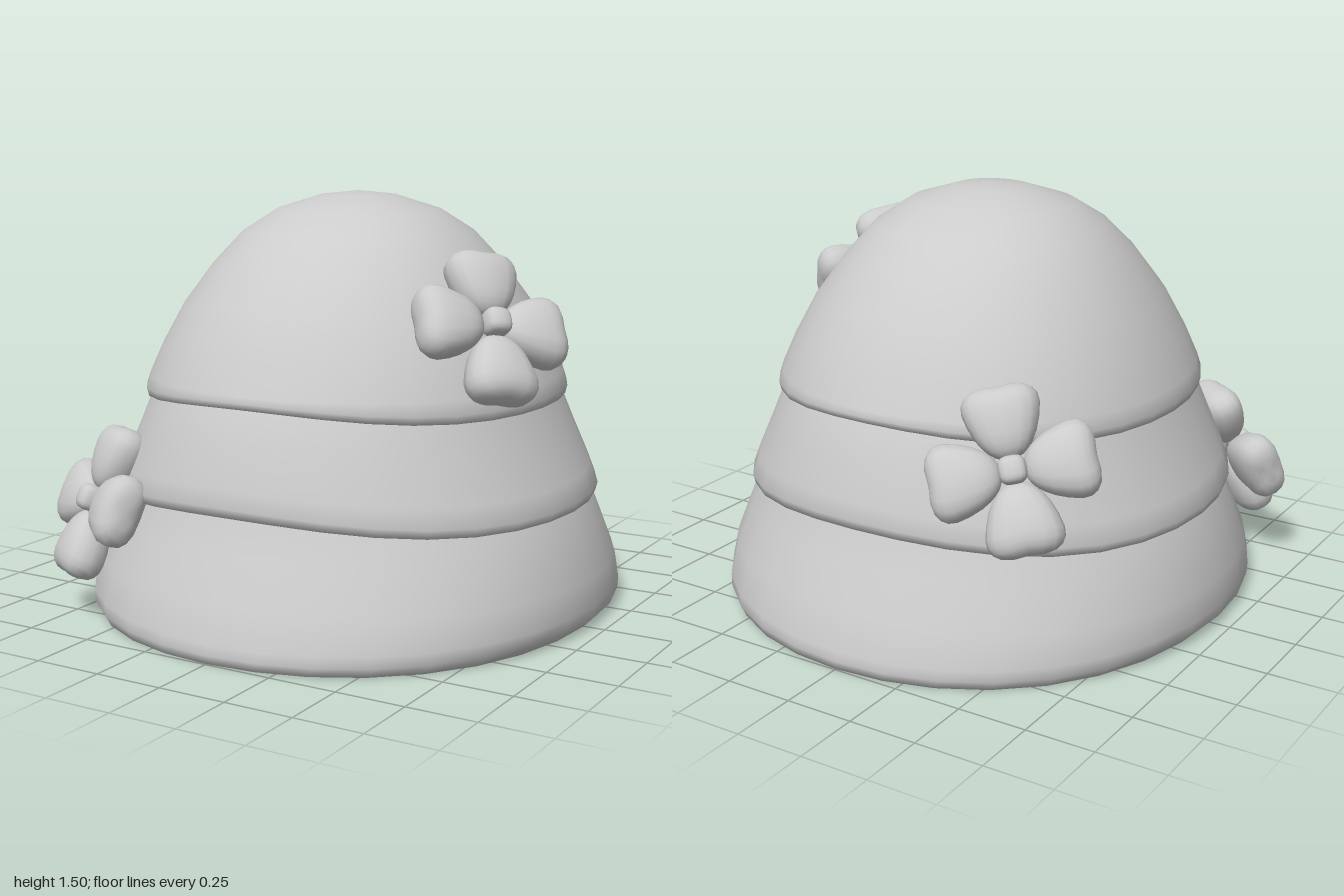
import * as THREE from 'three';
import { toCreasedNormals } from 'three/addons/utils/BufferGeometryUtils.js';

const material = new THREE.MeshStandardMaterial({ color: 0xcccccc });

// Surface through slightly squared oval rings [radiusX, radiusZ, height at the sides, height at front and back]
function loft(rows, segments = 32) {
  const positions = [], index = [];
  rows.forEach(([rx, rz, ySide, yFront], i) => {
    for (let j = 0; j < segments; j++) {
      const a = (j / segments) * Math.PI * 2;
      const bulge = 1 + 0.02 * Math.sin(2 * a) ** 2;
      const y = THREE.MathUtils.lerp(ySide, yFront, Math.sin(a) ** 4);
      positions.push(rx * bulge * Math.cos(a), y, rz * bulge * Math.sin(a));
      if (i === rows.length - 1) continue;
      const p = i * segments + j, q = i * segments + (j + 1) % segments;
      index.push(p, q, q + segments, p, q + segments, p + segments);
    }
  });
  const geometry = new THREE.BufferGeometry();
  geometry.setAttribute('position', new THREE.Float32BufferAttribute(positions, 3));
  geometry.setIndex(index);
  return toCreasedNormals(geometry, 1.5);
}

function addMesh(parent, name, geometry) {
  const mesh = new THREE.Mesh(geometry, material);
  mesh.name = name;
  parent.add(mesh);
  return mesh;
}

// Sphere whose points are pushed towards a box, then placed by a rule
function softShape(power, place) {
  const geometry = new THREE.SphereGeometry(1, 16, 12);
  const pos = geometry.attributes.position;
  const puff = v => Math.sign(v) * Math.abs(v) ** power;
  for (let i = 0; i < pos.count; i++) {
    pos.setXYZ(i, ...place(puff(pos.getX(i)), puff(pos.getY(i)), puff(pos.getZ(i))));
  }
  return toCreasedNormals(geometry, 1.5);
}

export function createModel() {
  const model = new THREE.Group();
  model.name = 'flowerHat';

  // Three overlapping tiers with wavy, tucked-in hems
  addMesh(model, 'crownTier', loft([
    [0, 0, 1.505, 1.505], [0.14, 0.13, 1.49, 1.49], [0.3, 0.28, 1.44, 1.44],
    [0.42, 0.41, 1.36, 1.365], [0.52, 0.53, 1.245, 1.265], [0.62, 0.65, 1.1, 1.12],
    [0.69, 0.74, 0.96, 0.965], [0.74, 0.785, 0.85, 0.86], [0.757, 0.795, 0.8, 0.84],
    [0.75, 0.787, 0.77, 0.818], [0.725, 0.76, 0.773, 0.82], [0.72, 0.755, 0.81, 0.85],
  ]));
  addMesh(model, 'middleTier', loft([
    [0.715, 0.755, 0.82, 0.85], [0.735, 0.78, 0.77, 0.81], [0.785, 0.825, 0.65, 0.69],
    [0.85, 0.868, 0.51, 0.56], [0.88, 0.882, 0.44, 0.5], [0.872, 0.875, 0.41, 0.468],
    [0.84, 0.83, 0.415, 0.47], [0.83, 0.81, 0.45, 0.5],
  ]));
  addMesh(model, 'bottomTier', loft([
    [0.82, 0.805, 0.5, 0.53], [0.87, 0.825, 0.41, 0.46], [0.905, 0.88, 0.31, 0.34],
    [0.95, 0.945, 0.18, 0.19], [0.96, 0.995, 0.08, 0.065], [0.955, 1, 0.035, 0.03],
    [0.92, 0.995, 0, 0], [0.865, 0.92, 0, 0], [0.835, 0.875, 0.018, 0.015],
  ]));

  // Thin-walled hollow inside with a small step where the tiers meet
  addMesh(model, 'lining', loft([
    [0.835, 0.875, 0.018, 0.015], [0.88, 0.91, 0.07, 0.06], [0.9, 0.92, 0.14, 0.14],
    [0.885, 0.88, 0.25, 0.25], [0.84, 0.81, 0.41, 0.44], [0.81, 0.79, 0.405, 0.435],
    [0.795, 0.79, 0.5, 0.54], [0.745, 0.78, 0.65, 0.69], [0.7, 0.74, 0.8, 0.84],
    [0.65, 0.69, 0.96, 0.97], [0.58, 0.61, 1.1, 1.11], [0.49, 0.5, 1.23, 1.24],
    [0.39, 0.385, 1.33, 1.33], [0.26, 0.25, 1.41, 1.41], [0, 0, 1.465, 1.465],
  ]));

  // Plump petal along +y, wide and faintly notched at its tip, and a rounded cube for the middle
  const petal = softShape(0.78, (x, y, z) => {
    const notch = Math.max(0, y) * Math.max(0, 1 - Math.abs(x) * 2) * 0.01;
    return [x * (0.12 + 0.04 * y), 0.163 + y * 0.125 - notch, z * (0.08 + 0.01 * y)];
  });
  const button = softShape(0.65, (x, y, z) => [x * 0.047, y * 0.047, z * 0.047]);

  // Four-petalled flowers: [centre, across direction, up direction]
  [
    ['frontFlower', [-0.665, 0.405, 0.705], [0.31, 0.02, 0.2], [0.08, 0.36, -0.15]],
    ['sideFlower', [0.66, 1.075, 0.25], [0.21, -0.06, -0.31], [-0.12, 0.29, -0.21]],
    ['backFlower', [-0.515, 0.725, -0.695], [-0.3, 0.07, 0.21], [0.14, 0.33, 0.11]],
  ].forEach(([name, centre, across, up]) => {
    const x = new THREE.Vector3(...across).normalize();
    const z = x.clone().cross(new THREE.Vector3(...up)).normalize();
    const y = z.clone().cross(x);
    const flower = new THREE.Group();
    flower.name = name;
    flower.position.set(...centre);
    flower.quaternion.setFromRotationMatrix(new THREE.Matrix4().makeBasis(x, y, z));
    for (let i = 0; i < 4; i++) {
      addMesh(flower, 'petal', petal).rotation.z = i * Math.PI / 2;
    }
    addMesh(flower, 'flowerCentre', button).position.z = 0.04;
    model.add(flower);
  });

  return model;
}
